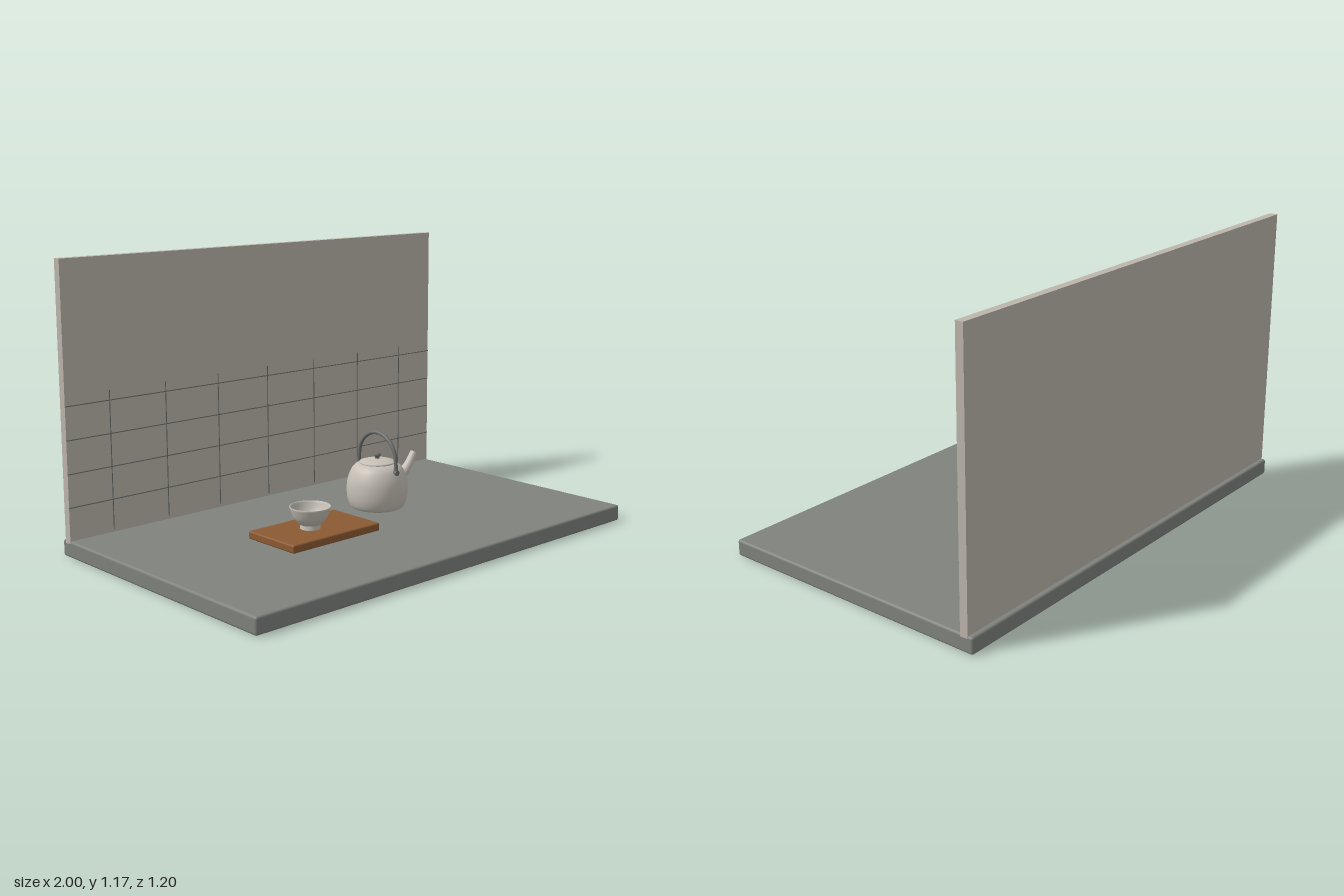
import * as THREE from 'three';
import { RoundedBoxGeometry } from 'three/addons/geometries/RoundedBoxGeometry.js';

const paint = (name, color, side = THREE.FrontSide) => {
  const m = new THREE.MeshStandardMaterial({ color, side });
  m.name = name;
  return m;
};

export function createModel() {
  const stone = paint('grey stone', 0x7f827d);
  const plaster = paint('warm wall', 0xbcb5ab);
  const grout = paint('grout', 0x70746f);
  const wood = paint('brown wood', 0x8c5a33);
  const ceramic = paint('cream ceramic', 0xc6c0b6, THREE.DoubleSide);
  const metal = paint('dark grey metal', 0x6c706d);

  const model = new THREE.Group();
  model.name = 'teaCounter';
  const add = (parent, name, geometry, material, x = 0, y = 0, z = 0) => {
    const mesh = new THREE.Mesh(geometry, material);
    mesh.name = name;
    mesh.position.set(x, y, z);
    parent.add(mesh);
    return mesh;
  };
  const lathe = (points, segments = 48) =>
    new THREE.LatheGeometry(points.map(([r, y]) => new THREE.Vector2(r, y)), segments);
  // Smooth profile through a few points
  const smooth = (points, n = 24) =>
    new THREE.SplineCurve(points.map(([r, y]) => new THREE.Vector2(r, y)))
      .getPoints(n).map((p) => [Math.max(p.x, 0), p.y]);

  // Counter and backsplash wall
  add(model, 'counter', new RoundedBoxGeometry(2, 0.068, 1.2, 3, 0.01), stone, 0, 0.034, 0);
  add(model, 'wall', new THREE.BoxGeometry(2, 1.114, 0.034), plaster, 0, 0.613, -0.562);

  // Tile joints
  for (let i = 0; i < 4; i++)
    add(model, 'horizontalJoint', new THREE.BoxGeometry(2, 0.004, 0.003), grout, 0, 0.202 + i * 0.134, -0.5445);
  for (let i = -3; i <= 3; i++)
    add(model, 'verticalJoint', new THREE.BoxGeometry(0.004, 0.565, 0.004), grout, i * 0.2667, 0.3625, -0.5445);

  // Serving board
  add(model, 'board', new RoundedBoxGeometry(0.455, 0.033, 0.272, 3, 0.007), wood, -0.2425, 0.0845, 0.036);

  // Bowl: foot ring, flared outside, rounded rim and hollow inside
  const outside = smooth([[0.038, 0.016], [0.055, 0.03], [0.07, 0.052], [0.083, 0.089]], 12);
  const inside = smooth([[0.078, 0.089], [0.066, 0.056], [0.046, 0.032], [0.02, 0.022], [0, 0.02]], 14);
  const bowl = new THREE.Group();
  bowl.name = 'bowl';
  bowl.position.set(-0.267, 0.101, 0.037);
  model.add(bowl);
  add(bowl, 'bowlBody', lathe([...outside, [0.0805, 0.091], ...inside]), ceramic);
  add(bowl, 'bowlFoot', new THREE.CylinderGeometry(0.039, 0.041, 0.018, 40), ceramic, 0, 0.009, 0);

  // Teapot
  const pot = new THREE.Group();
  pot.name = 'teapot';
  pot.position.set(0.225, 0.068, -0.092);
  model.add(pot);
  const body = smooth([[0.1, 0], [0.116, 0.012], [0.127, 0.045], [0.13, 0.085],
    [0.125, 0.128], [0.11, 0.166], [0.092, 0.186], [0.074, 0.194]], 32);
  add(pot, 'potBody', lathe([[0, 0], ...body, [0, 0.194]], 56), ceramic);
  add(pot, 'lid', lathe([[0.076, 0.192], [0.077, 0.197], ...smooth([[0.075, 0.2], [0.045, 0.208], [0, 0.212]], 10)], 48), ceramic);
  add(pot, 'knob', lathe([[0.009, 0.208], [0.009, 0.217], [0.014, 0.222], [0.0155, 0.229], [0.012, 0.235], [0, 0.237]], 24), metal);

  // Spout: curved tube narrowed toward the tip
  const path = new THREE.CatmullRomCurve3([
    new THREE.Vector3(0.1, 0.102, 0), new THREE.Vector3(0.15, 0.12, 0),
    new THREE.Vector3(0.189, 0.155, 0), new THREE.Vector3(0.222, 0.202, 0)]);
  const rings = 24, sides = 20;
  const spout = new THREE.TubeGeometry(path, rings, 1, sides, false);
  const pos = spout.attributes.position, v = new THREE.Vector3();
  for (let i = 0; i < pos.count; i++) {
    const t = Math.floor(i / (sides + 1)) / rings;
    const centre = path.getPointAt(t);
    v.fromBufferAttribute(pos, i).sub(centre).multiplyScalar(0.029 - 0.022 * t + 0.01 * t * t).add(centre);
    pos.setXYZ(i, v.x, v.y, v.z);
  }
  spout.computeVertexNormals();
  add(pot, 'spout', spout, ceramic);

  // Arched handle with a lug on each shoulder
  const arch = [new THREE.Vector3(0, 0.168, 0.114)];
  for (let i = 0; i <= 12; i++) {
    const a = (i / 12) * Math.PI;
    arch.push(new THREE.Vector3(0, 0.212 + Math.sin(a) * 0.111, Math.cos(a) * 0.111));
  }
  arch.push(new THREE.Vector3(0, 0.168, -0.114));
  add(pot, 'handle', new THREE.TubeGeometry(new THREE.CatmullRomCurve3(arch), 64, 0.008, 14), metal);
  for (const s of [-1, 1]) {
    const lug = add(pot, 'handleLug', new THREE.CylinderGeometry(0.011, 0.011, 0.02, 20), metal, 0, 0.168, s * 0.112);
    lug.rotation.x = Math.PI / 2;
  }
  return model;
}
